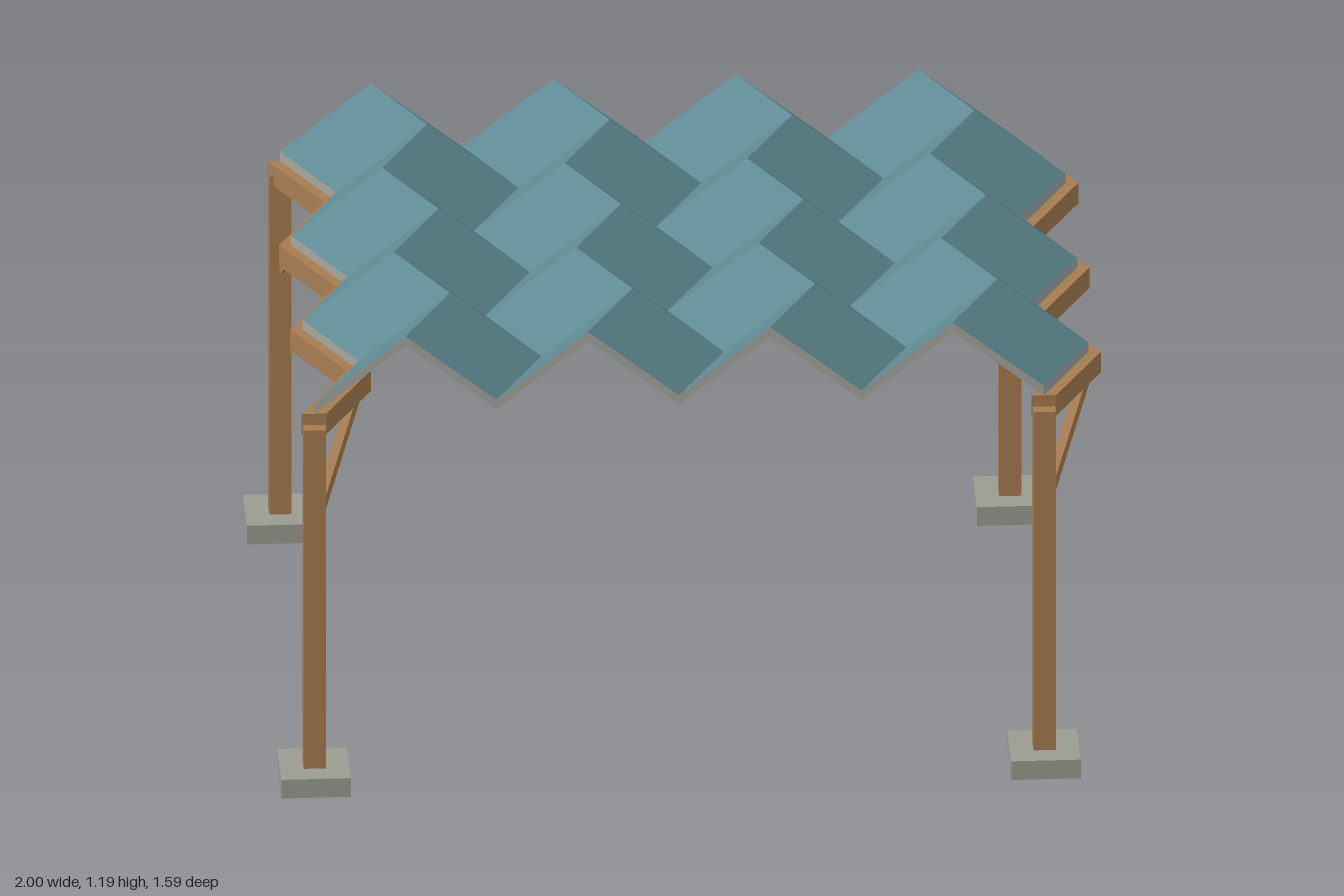
import * as THREE from 'three';

const COLS = 8, ROWS = 6;              // folded panel grid
const X0 = -0.916, X1 = 0.848;         // sheet ends on the even rows
const SHIFT = 0.122, ZH = 0.706;       // sideways zigzag, half depth
const LOW = 1.01, HIGH = 1.186, THICK = 0.025;

const material = (color) => new THREE.MeshStandardMaterial({ color, flatShading: true });
const teal = material(0x5f8a93), grey = material(0xa6a6a0);
const wood = material(0xa67c52), concrete = material(0x9a9c92);

function addMesh(parent, name, geometry, mat) {
  const mesh = new THREE.Mesh(geometry, mat);
  mesh.name = name;
  parent.add(mesh);
  return mesh;
}

const rowZ = (j) => -ZH + (2 * ZH * j) / ROWS;
const rowShift = (j) => (j % 2 ? SHIFT : 0);

// corner of the folded sheet, at column i and row j
const corner = (i, j, drop = 0) => [
  X0 + ((X1 - X0) * i) / COLS + rowShift(j),
  (i % 2 ? HIGH : LOW) - drop,
  rowZ(j),
];

// flat-faced geometry from quads with anticlockwise corners
function quadGeometry(quads) {
  const pos = [];
  for (const [a, b, c, d] of quads) pos.push(...a, ...b, ...c, ...a, ...c, ...d);
  const g = new THREE.BufferGeometry();
  g.setAttribute('position', new THREE.Float32BufferAttribute(pos, 3));
  g.computeVertexNormals();
  return g;
}

function buildRoof() {
  const roof = new THREE.Group();
  roof.name = 'foldedRoof';
  const top = [], under = [], edge = [];
  const rim = (i, j, k, l) =>
    edge.push([corner(i, j, THICK), corner(k, l, THICK), corner(k, l), corner(i, j)]);
  for (let i = 0; i < COLS; i++) {
    for (let j = 0; j < ROWS; j++) {
      top.push([corner(i, j), corner(i, j + 1), corner(i + 1, j + 1), corner(i + 1, j)]);
      under.push([corner(i, j, THICK), corner(i + 1, j, THICK),
        corner(i + 1, j + 1, THICK), corner(i, j + 1, THICK)]);
    }
    rim(i, ROWS, i + 1, ROWS);
    rim(i + 1, 0, i, 0);
  }
  for (let j = 0; j < ROWS; j++) {
    rim(0, j, 0, j + 1);
    rim(COLS, j + 1, COLS, j);
  }
  addMesh(roof, 'roofTop', quadGeometry(top), teal);
  addMesh(roof, 'roofUnderside', quadGeometry(under), grey);
  addMesh(roof, 'roofEdge', quadGeometry(edge), grey);
  return roof;
}

// zigzag beam that follows the end of the sheet
function beamGeometry(half = 0.03) {
  const pts = [];
  for (let j = 0; j <= ROWS; j++) pts.push(new THREE.Vector2(rowShift(j) + half, rowZ(j)));
  for (let j = ROWS; j >= 0; j--) pts.push(new THREE.Vector2(rowShift(j) - half, rowZ(j)));
  const g = new THREE.ExtrudeGeometry(new THREE.Shape(pts), { depth: 0.055, bevelEnabled: false });
  return g.rotateX(-Math.PI / 2);
}

// square bar between two points
function addBar(parent, name, a, b, size) {
  const bar = addMesh(parent, name, new THREE.BoxGeometry(size, size, a.distanceTo(b)), wood);
  bar.position.copy(a).lerp(b, 0.5);
  bar.lookAt(b);
}

export function createModel() {
  const model = new THREE.Group();
  model.name = 'foldedCanopy';
  model.add(buildRoof());

  for (const [side, x] of [['right', X0], ['left', X1]]) {
    addMesh(model, side + 'Beam', beamGeometry(), wood).position.set(x, 0.93, 0);

    for (const [end, s] of [['Front', 1], ['Back', -1]]) {
      const support = new THREE.Group();
      support.name = side + end + 'Support';
      model.add(support);
      const z = s * 0.709;
      addMesh(support, 'footing', new THREE.BoxGeometry(0.168, 0.05, 0.172), concrete)
        .position.set(x, 0.025, z);
      addMesh(support, 'post', new THREE.BoxGeometry(0.054, 0.905, 0.056), wood)
        .position.set(x, 0.5025, z);
      // brace runs up from the post, under the first leg of the beam
      const at = (t, y) =>
        new THREE.Vector3(x + SHIFT * t, y, s * (ZH - (2 * ZH / ROWS) * t));
      addBar(support, 'brace', at(0.04, 0.7), at(0.95, 0.942), 0.025);
    }
  }
  return model;
}
